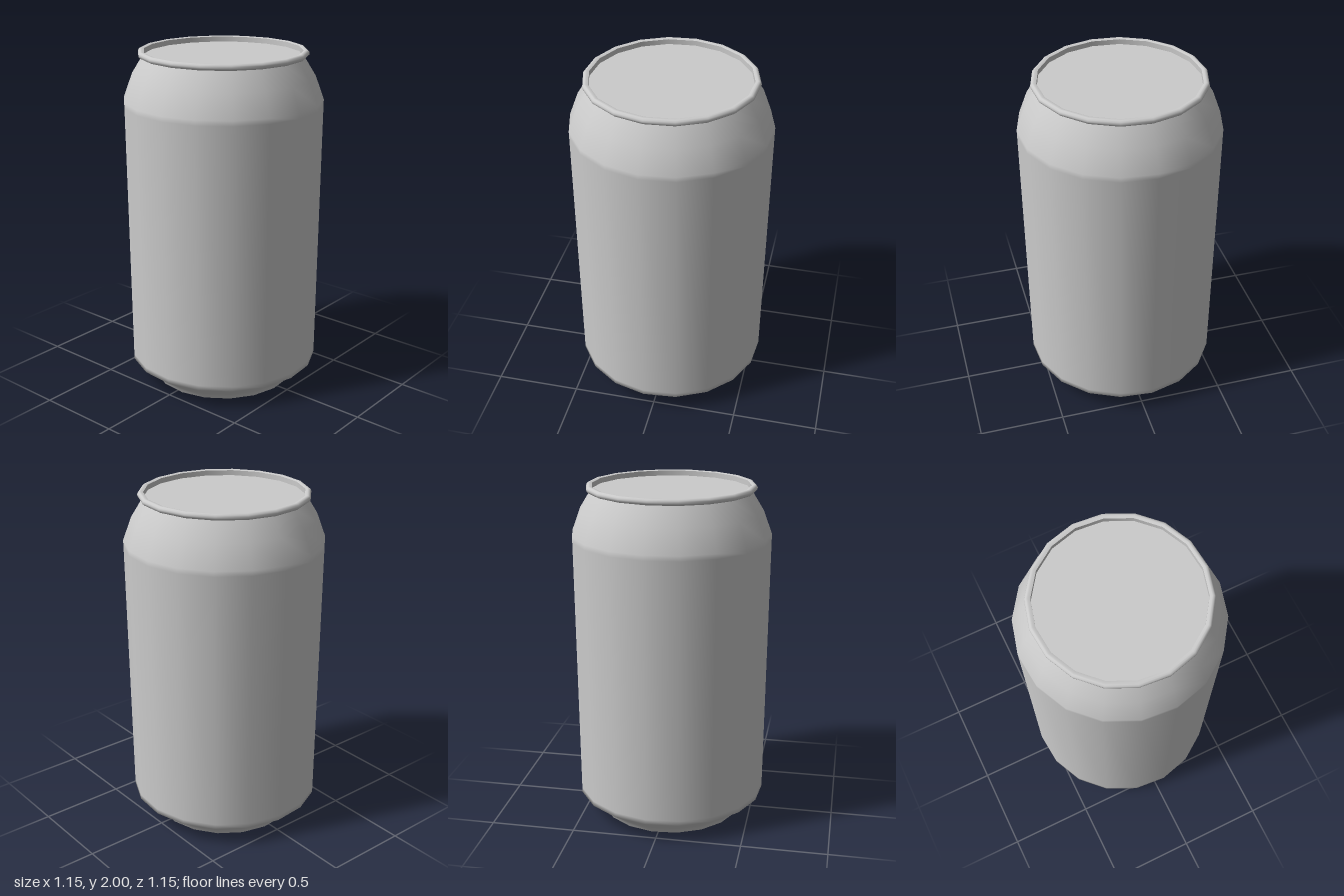
import * as THREE from 'three';

const SIDES = 18;
const TURN = THREE.MathUtils.degToRad(-5);

// Surface of revolution from [radius, height] pairs
function lathe(name, profile, material) {
  const points = profile.map(([r, y]) => new THREE.Vector2(r, y));
  const mesh = new THREE.Mesh(new THREE.LatheGeometry(points, SIDES, TURN), material);
  mesh.name = name;
  return mesh;
}

export function createModel() {
  const group = new THREE.Group();
  group.name = 'drinkCan';
  const metal = new THREE.MeshStandardMaterial({ color: 0xcccccc });

  // Slightly tapered wall with a chamfered foot and curved shoulder
  group.add(lathe('body', [
    [0.43, 0], [0.438, 0.012], [0.452, 0.042], [0.564, 0.12], [0.5645, 0.15],
    [0.5765, 1.69], [0.577, 1.72], [0.527, 1.855], [0.458, 1.967],
  ], metal));

  // Flat underside
  group.add(lathe('base', [[0, 0], [0.43, 0]], metal));

  // Rolled rim around the top
  group.add(lathe('rim', [
    [0.456, 1.964], [0.478, 1.965], [0.487, 1.973], [0.489, 1.983],
    [0.486, 1.992], [0.478, 1.999], [0.468, 2], [0.455, 1.996],
  ], metal));

  // Inner wall of the rim and the recessed lid
  group.add(lathe('rimInside', [[0.455, 1.996], [0.455, 1.966]], metal));
  group.add(lathe('lid', [[0.455, 1.966], [0, 1.966]], metal));

  return group;
}
